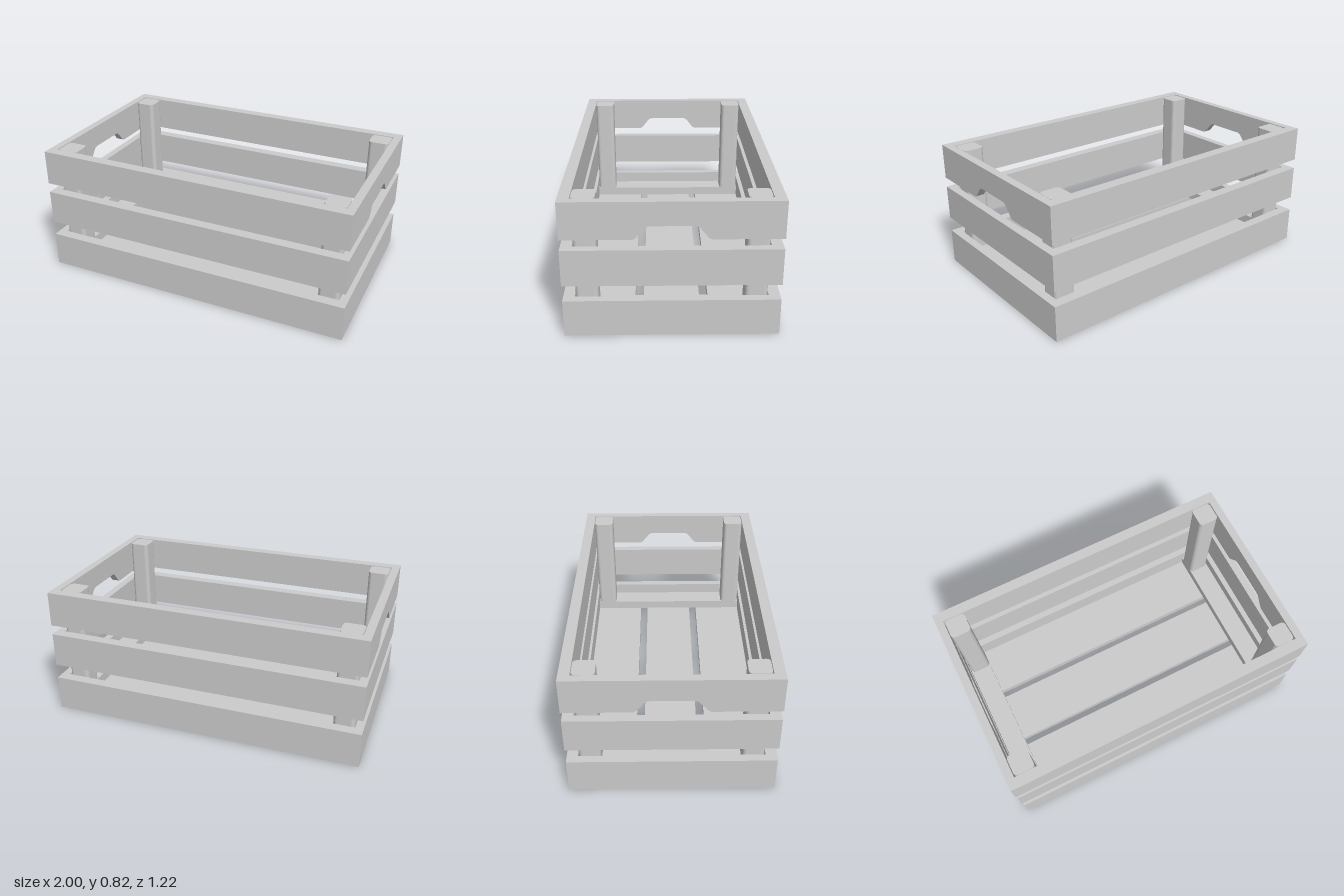
import * as THREE from 'three';

const HX = 1, HZ = 0.61;       // outer half sizes
const TX = 0.05, TZ = 0.065;   // end and side board thickness
const IX = HX - TX, IZ = HZ - TZ;
const material = new THREE.MeshStandardMaterial({ color: 0xcccccc });

function add(parent, name, geometry, x = 0, y = 0, z = 0) {
  const mesh = new THREE.Mesh(geometry, material);
  mesh.name = name;
  mesh.position.set(x, y, z);
  parent.add(mesh);
  return mesh;
}

// Box given by its lower and upper height
function board(parent, name, w, y0, y1, d, x, z) {
  return add(parent, name, new THREE.BoxGeometry(w, y1 - y0, d), x, (y0 + y1) / 2, z);
}

// End board with a hand grip cut into its lower edge; x of the shape runs along z
function gripBoardGeometry(y0, y1) {
  const s = new THREE.Shape();
  const top = y0 + 0.08;
  s.moveTo(-IZ, y0);
  s.lineTo(-0.222, y0);
  s.quadraticCurveTo(-0.205, y0, -0.192, y0 + 0.015);
  s.lineTo(-0.152, top - 0.016);
  s.quadraticCurveTo(-0.138, top, -0.118, top);
  s.lineTo(0.118, top);
  s.quadraticCurveTo(0.138, top, 0.152, top - 0.016);
  s.lineTo(0.192, y0 + 0.015);
  s.quadraticCurveTo(0.205, y0, 0.222, y0);
  s.lineTo(IZ, y0);
  s.lineTo(IZ, y1);
  s.lineTo(-IZ, y1);
  s.closePath();
  const g = new THREE.ExtrudeGeometry(s, { depth: TX, bevelEnabled: false, curveSegments: 6 });
  return g.translate(0, 0, -TX / 2).rotateY(Math.PI / 2);
}

// Upright post with rounded vertical edges
function postGeometry(size, height, r) {
  const h = size / 2, c = h - r;
  const s = new THREE.Shape();
  s.absarc(c, c, r, 0, Math.PI / 2);
  s.absarc(-c, c, r, Math.PI / 2, Math.PI);
  s.absarc(-c, -c, r, Math.PI, Math.PI * 1.5);
  s.absarc(c, -c, r, Math.PI * 1.5, Math.PI * 2);
  const g = new THREE.ExtrudeGeometry(s, { depth: height, bevelEnabled: false, curveSegments: 5 });
  return g.rotateX(-Math.PI / 2);
}

export function createModel() {
  const crate = new THREE.Group();
  crate.name = 'crate';

  // Three rings of wall boards; the top ring has grips at both ends
  const rings = [['lower', 0, 0.225], ['middle', 0.32, 0.54], ['upper', 0.603, 0.825]];
  for (const [level, y0, y1] of rings) {
    for (const s of [-1, 1]) {
      const side = s > 0 ? 'Front' : 'Back';
      const end = s > 0 ? 'Left' : 'Right';
      board(crate, `${level}${side}Board`, 2 * HX, y0, y1, TZ, 0, s * (HZ - TZ / 2));
      const x = s * (HX - TX / 2);
      if (level === 'upper') add(crate, `${level}${end}GripBoard`, gripBoardGeometry(y0, y1), x);
      else board(crate, `${level}${end}Board`, TX, y0, y1, 2 * IZ, x, 0);
    }
  }

  // Floor slats, set up a little from the ground
  const slats = [[-IZ, -0.218], [-0.167, 0.163], [0.214, IZ]];
  slats.forEach(([z0, z1], i) =>
    board(crate, `floorSlat${i + 1}`, 2 * IX, 0.04, 0.09, z1 - z0, 0, (z0 + z1) / 2));

  // Cleats across the slats and a post in every corner
  const post = postGeometry(0.13, 0.672, 0.025);
  for (const sx of [-1, 1]) {
    board(crate, 'floorCleat', IX - 0.815, 0.09, 0.15, 2 * IZ, sx * (IX + 0.815) / 2, 0);
    for (const sz of [-1, 1]) add(crate, 'cornerPost', post, sx * 0.88, 0.15, sz * 0.477);
  }
  return crate;
}
